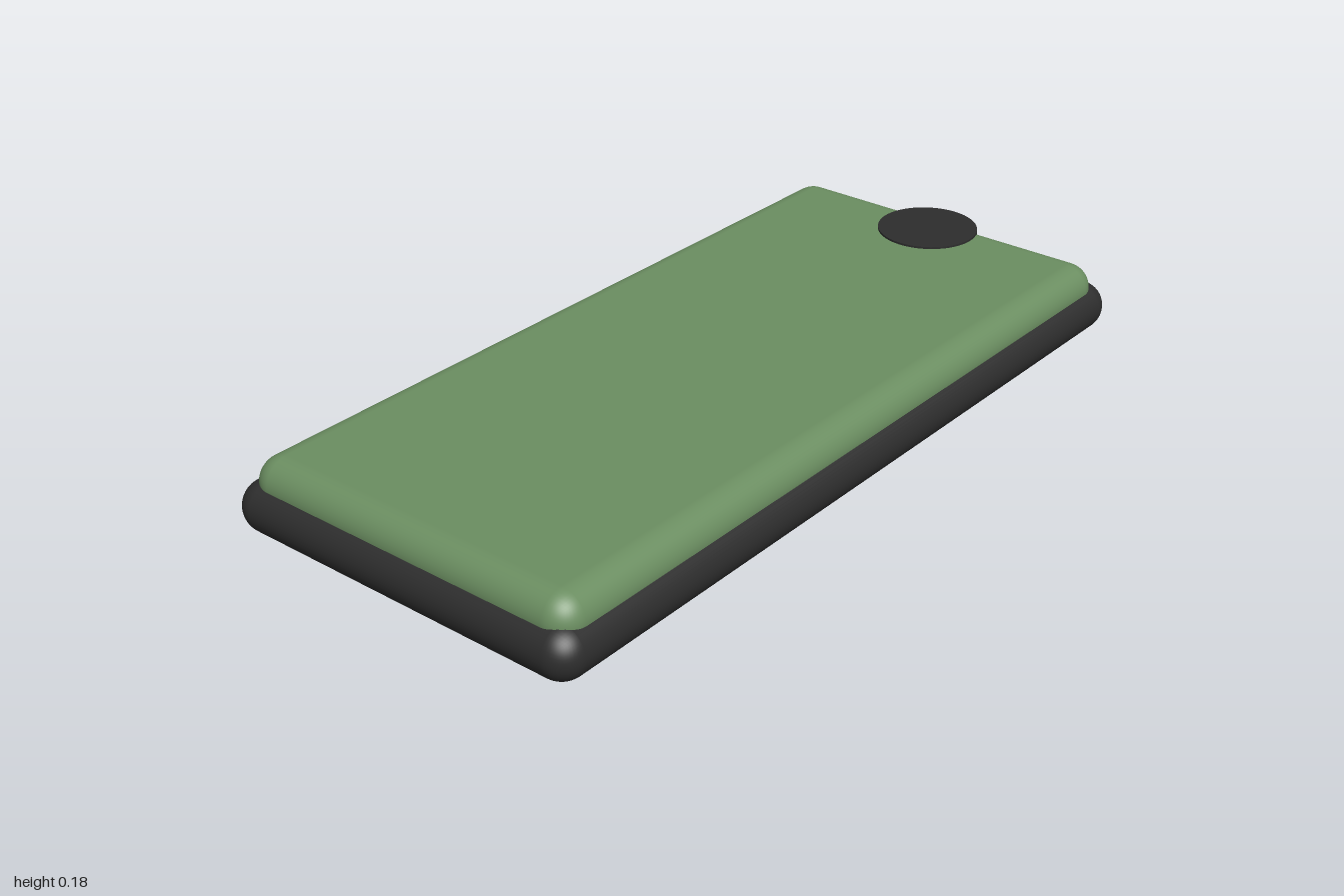
import * as THREE from 'three';
import { RoundedBoxGeometry } from 'three/addons/geometries/RoundedBoxGeometry.js';

export function createModel() {
  const group = new THREE.Group();
  group.name = 'cushionedMat';

  const charcoal = new THREE.MeshStandardMaterial({ color: 0x2d2d2d });
  charcoal.name = 'charcoal';
  const green = new THREE.MeshStandardMaterial({ color: 0x6b8e61 });
  green.name = 'mossGreen';

  function add(name, geometry, material, y, z = 0) {
    const mesh = new THREE.Mesh(geometry, material);
    mesh.name = name;
    mesh.position.set(0, y, z);
    group.add(mesh);
  }

  // Dark pillowy base slab
  add('base', new RoundedBoxGeometry(0.936, 0.122, 2, 6, 0.061), charcoal, 0.061);

  // Green pad, sunk halfway into the base
  add('topPad', new RoundedBoxGeometry(0.886, 0.122, 1.938, 6, 0.061), green, 0.114);

  // Round button, flush with the rear edge and just above the pad
  add('button', new THREE.CylinderGeometry(0.125, 0.125, 0.12, 48), charcoal, 0.12, -0.875);

  return group;
}
